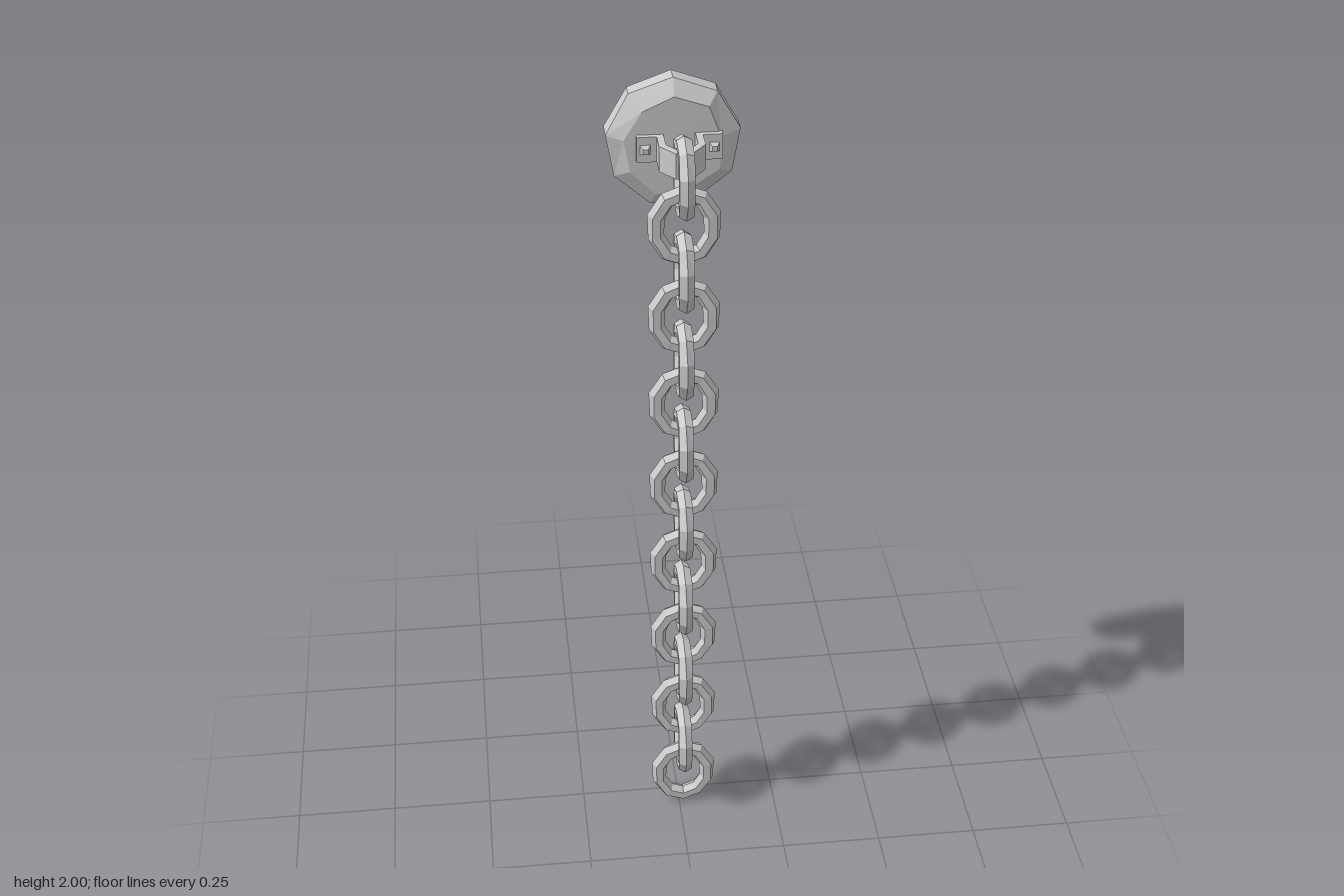
import * as THREE from 'three';

const metal = new THREE.MeshStandardMaterial({ color: 0xcccccc, flatShading: true });
const CX = 0.011;        // chain and bracket centre line
const CHAIN_Z = 0.041;
const BRACKET_Y = 1.85;

function part(name, geometry, x = 0, y = 0, z = 0) {
  const mesh = new THREE.Mesh(geometry, metal);
  mesh.name = name;
  mesh.position.set(x, y, z);
  return mesh;
}

// Moves every vertex by a rule that edits the given vector
function reshape(geometry, rule) {
  const pos = geometry.attributes.position;
  const v = new THREE.Vector3();
  for (let i = 0; i < pos.count; i++) {
    rule(v.fromBufferAttribute(pos, i));
    pos.setXYZ(i, v.x, v.y, v.z);
  }
  geometry.computeVertexNormals();
  return geometry;
}

// Faceted oval ring with straight sides and a slightly hammered surface
function linkGeometry() {
  const tube = 0.0195, halfW = 0.062, halfH = 0.0795;
  const ring = new THREE.TorusGeometry(1, tube, 6, 10);
  ring.rotateZ(Math.PI / 10);
  return reshape(ring, v => {
    const a = Math.atan2(v.y, v.x);
    const out = Math.hypot(v.x, v.y) - 1;
    const dent = 1 + 0.07 * Math.sin(3 * a + v.z * 90);
    v.set(
      Math.cos(a) * (halfW / Math.cos(Math.PI / 10) + out * dent),
      Math.sin(a) * (halfH + out),
      v.z * dent
    );
  });
}

// Nine-sided wall plate with an uneven bevelled face
function plateGeometry() {
  const profile = [[0, -0.122], [0.152, -0.122], [0.152, -0.079], [0.113, -0.055], [0, -0.053]]
    .map(p => new THREE.Vector2(...p));
  const plate = new THREE.LatheGeometry(profile, 9, Math.PI);
  plate.rotateX(Math.PI / 2);
  return reshape(plate, v => {
    const r = Math.hypot(v.x, v.y);
    if (v.z < -0.1 || r < 0.01) return;
    if (r > 0.14) v.z += 0.007 * Math.sin(v.x * 37 + v.y * 23);
    else {
      const s = 1 + 0.07 * Math.sin(v.x * 51 - v.y * 33);
      v.x *= s;
      v.y *= s;
    }
  });
}

// Bent strap: two tabs, two legs and a front bar that holds the top link
function strapGeometry() {
  const half = [
    [0.018, 0.048], [0.051, 0.006], [0.051, -0.042], [0.095, -0.042], [0.095, -0.06],
    [0.035, -0.06], [0.035, 0], [0.01, 0.031]
  ];
  const mirrored = half.map(([x, z]) => [-x, z]).reverse();
  const shape = new THREE.Shape([...half, ...mirrored].map(p => new THREE.Vector2(...p)));
  const strap = new THREE.ExtrudeGeometry(shape, { depth: 0.06, bevelEnabled: false });
  strap.rotateX(Math.PI / 2);
  return strap.translate(0, 0.03, 0);
}

export function createModel() {
  const model = new THREE.Group();
  model.name = 'wallChain';

  model.add(part('wallPlate', plateGeometry(), 0, 1.848, 0));

  const bracket = new THREE.Group();
  bracket.name = 'bracket';
  bracket.position.set(CX, BRACKET_Y, 0);
  bracket.add(part('strap', strapGeometry()));
  const rivet = new THREE.CylinderGeometry(0.008, 0.017, 0.014, 4);
  rivet.rotateY(Math.PI / 4).rotateX(Math.PI / 2);
  for (const side of [-1, 1]) {
    bracket.add(part(side > 0 ? 'leftRivet' : 'rightRivet', rivet, side * 0.076, 0, -0.037));
  }
  model.add(bracket);

  // Sixteen links, each turned a quarter from the one below
  const chain = new THREE.Group();
  chain.name = 'chain';
  const link = linkGeometry();
  for (let i = 0; i < 16; i++) {
    const mesh = part('link' + (i + 1), link, CX, 0.099 + i * 0.1147, CHAIN_Z);
    mesh.rotation.y = (i % 2) * Math.PI / 2;
    chain.add(mesh);
  }
  model.add(chain);

  return model;
}
